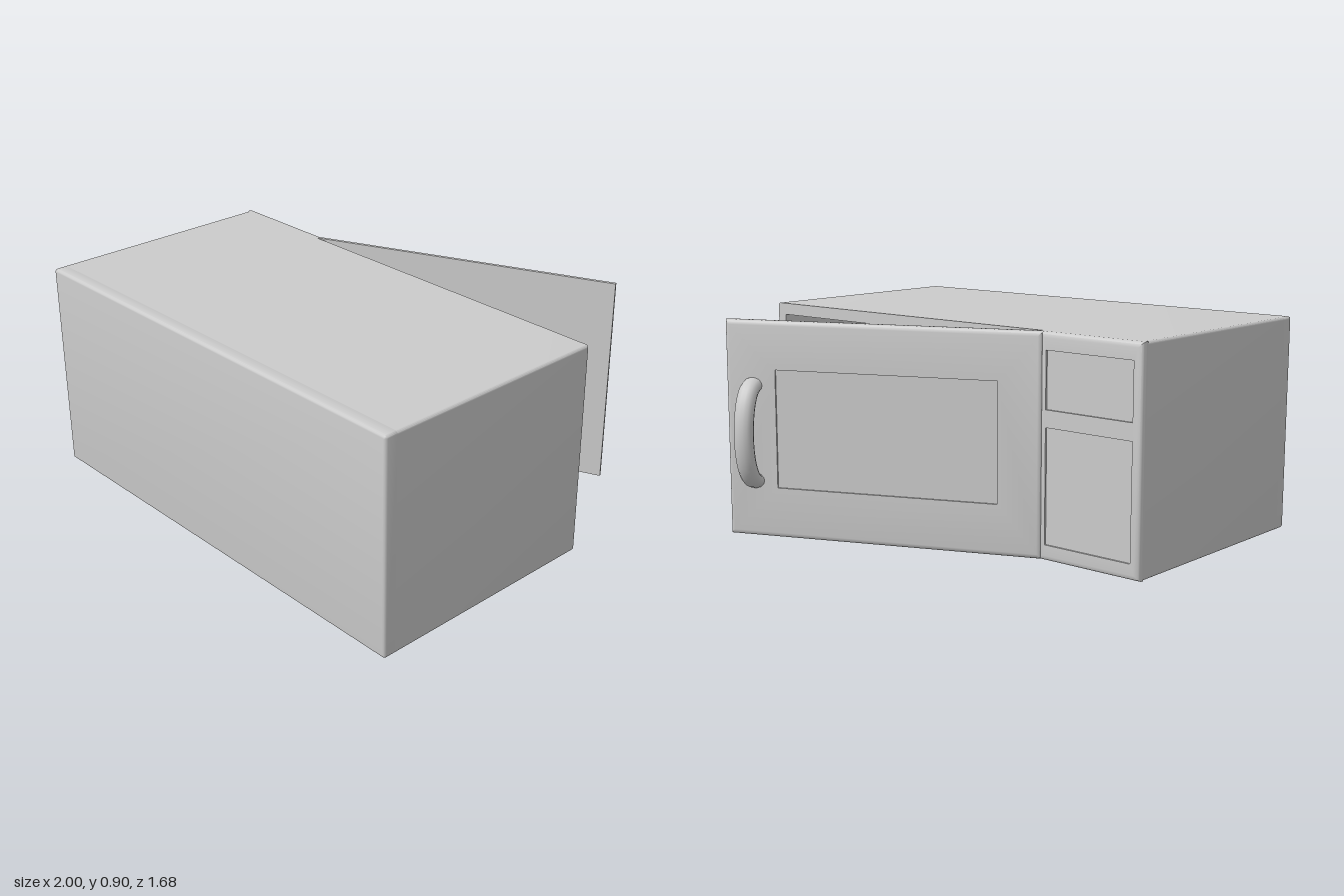
import * as THREE from 'three';
import { toCreasedNormals } from 'three/addons/utils/BufferGeometryUtils.js';

const grey = new THREE.MeshStandardMaterial({ color: 0xcccccc, side: THREE.DoubleSide });
const H = 0.9;

function add(parent, name, geometry, x = 0, y = 0, z = 0) {
  const mesh = new THREE.Mesh(geometry, grey);
  mesh.name = name;
  mesh.position.set(x, y, z);
  parent.add(mesh);
  return mesh;
}

// Rectangle outline with slightly cut-round corners
function rect(x0, y0, x1, y1, r = 0, Type = THREE.Shape) {
  const s = new Type();
  s.moveTo(x0 + r, y0).lineTo(x1 - r, y0);
  if (r) s.quadraticCurveTo(x1, y0, x1, y0 + r);
  s.lineTo(x1, y1 - r);
  if (r) s.quadraticCurveTo(x1, y1, x1 - r, y1);
  s.lineTo(x0 + r, y1);
  if (r) s.quadraticCurveTo(x0, y1, x0, y1 - r);
  s.lineTo(x0, y0 + r);
  if (r) s.quadraticCurveTo(x0, y0, x0 + r, y0);
  return s;
}

// Upright panel spanning x 0..w, facing -z, with a rounded outer edge
// and shallow recesses given as [x0, y0, x1, y1]
function facePanel(name, w, thick, round, recesses) {
  const group = new THREE.Group();
  group.name = name;
  const shape = rect(-w / 2, -H / 2, w / 2, H / 2);
  const holes = recesses.map(([a, b, c, d]) => [w / 2 - c, b - H / 2, w / 2 - a, d - H / 2]);
  holes.forEach((h) => shape.holes.push(rect(...h, 0, THREE.Path)));
  const geo = new THREE.ExtrudeGeometry(shape, { depth: thick, steps: 8, bevelEnabled: false });
  const p = geo.attributes.position;
  for (let i = 0; i < p.count; i++) {
    const t = Math.max(0, (p.getZ(i) - thick + round) / round);
    const inset = round * (1 - Math.sqrt(Math.max(0, 1 - t * t)));
    const x = p.getX(i), y = p.getY(i);
    if (Math.abs(x) > w / 2 - 1e-4) p.setX(i, x - Math.sign(x) * inset);
    if (Math.abs(y) > H / 2 - 1e-4) p.setY(i, y - Math.sign(y) * inset);
  }
  const turned = new THREE.Group();
  turned.rotation.y = Math.PI;
  turned.position.set(w / 2, H / 2, 0);
  group.add(turned);
  add(turned, name + 'Frame', toCreasedNormals(geo, 0.6));
  const floor = thick - 0.008;
  holes.forEach(([a, b, c, d]) => add(turned, name + 'Recess',
    new THREE.BoxGeometry(c - a, d - b, floor), (a + c) / 2, (b + d) / 2, floor / 2));
  return group;
}

export function createModel() {
  const model = new THREE.Group();
  model.name = 'microwaveOven';

  // Housing with the cooking cavity open toward -z
  const shell = rect(-1, 0, 1, H, 0.012);
  shell.holes.push(rect(-0.5, 0.05, 0.955, 0.85, 0, THREE.Path));
  add(model, 'housing', toCreasedNormals(
    new THREE.ExtrudeGeometry(shell, { depth: 0.985, bevelEnabled: false, curveSegments: 4 }), 0.6), 0, 0, -0.205);

  // Closed wall with softened edges
  const r = 0.012;
  add(model, 'closedWall', toCreasedNormals(new THREE.ExtrudeGeometry(rect(-1, 0, 1, H, r), {
    depth: 0.055 - r, bevelThickness: r, bevelSize: r, bevelOffset: -r, bevelSegments: 3, curveSegments: 4,
  }), 0.6), 0, 0, 0.78);

  // Turntable: shallow dish on a hub
  const dish = [[0, 0.02], [0.36, 0.02], [0.43, 0.05], [0.44, 0.045], [0.37, 0.005], [0, 0.005]];
  add(model, 'turntable', toCreasedNormals(
    new THREE.LatheGeometry(dish.map(([x, y]) => new THREE.Vector2(x, y)).reverse(), 40), 0.6), 0.22, 0.06, 0.3);
  add(model, 'turntableHub', new THREE.CylinderGeometry(0.06, 0.06, 0.03, 24), 0.22, 0.06, 0.3);

  // Control panel with two recessed fields
  const controls = facePanel('controlPanel', 0.475, 0.032, 0.022,
    [[0.04, 0.6, 0.445, 0.83], [0.04, 0.065, 0.445, 0.53]]);
  controls.position.set(-1, 0, -0.203);
  model.add(controls);

  // Door swung open on its hinge beside the control panel
  const door = facePanel('door', 1.34, 0.03, 0.02, [[0.18, 0.21, 1.12, 0.7]]);
  door.position.set(-0.525, 0, -0.205);
  door.rotation.y = THREE.MathUtils.degToRad(23.8);
  model.add(door);

  // Bowed handle, flattened in section
  const points = [];
  for (let i = 0; i <= 12; i++) {
    const a = (i / 12) * Math.PI;
    points.push(new THREE.Vector3(0, -0.2 * Math.cos(a), -0.1 * Math.sin(a)));
  }
  const handle = add(door, 'handle', new THREE.TubeGeometry(
    new THREE.CatmullRomCurve3(points), 32, 0.032, 14), 1.22, 0.435, -0.024);
  handle.scale.x = 1.3;

  // Hinge pin
  add(model, 'hingePin', new THREE.CylinderGeometry(0.01, 0.01, H - 0.04, 12), -0.522, H / 2, -0.213);
  return model;
}
